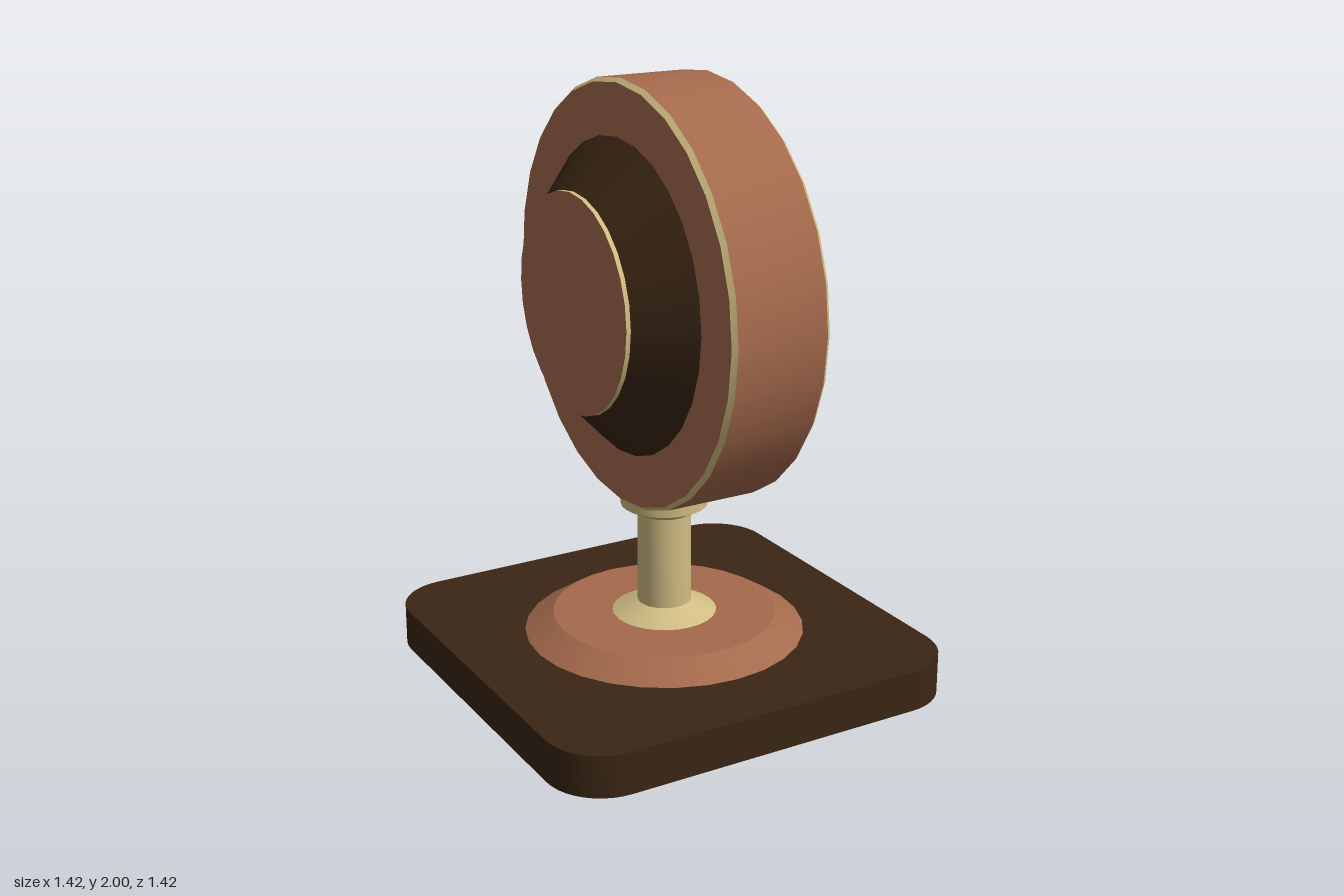
import * as THREE from 'three';
import { toCreasedNormals } from 'three/addons/utils/BufferGeometryUtils.js';

const SIDES = 28;
const HEAD_Y = 1.31;

const paint = (color) => new THREE.MeshStandardMaterial({ color });

export function createModel() {
  const model = new THREE.Group();
  const copper = paint(0xa56a4c);
  const gold = paint(0xd0bd82);
  const dark = paint(0x3a2614);
  const grey = paint(0xcccccc);

  // Turned part: profile of [radius, height], listed from bottom to top
  function turned(name, profile, material, parent) {
    const points = profile.map(([r, h]) => new THREE.Vector2(r, h));
    const geometry = toCreasedNormals(new THREE.LatheGeometry(points, SIDES), 0.4);
    const mesh = new THREE.Mesh(geometry, material);
    mesh.name = name;
    parent.add(mesh);
    return mesh;
  }

  // Square plinth with rounded corners
  const h = 0.71, r = 0.19, c = h - r;
  const outline = new THREE.Shape();
  outline.absarc(c, c, r, 0, Math.PI / 2);
  outline.absarc(-c, c, r, Math.PI / 2, Math.PI);
  outline.absarc(-c, -c, r, Math.PI, Math.PI * 1.5);
  outline.absarc(c, -c, r, Math.PI * 1.5, Math.PI * 2);
  outline.closePath();
  const slab = new THREE.ExtrudeGeometry(outline, { depth: 0.14, bevelEnabled: false, curveSegments: 5 });
  slab.rotateX(-Math.PI / 2);
  const plinth = new THREE.Mesh(toCreasedNormals(slab, 0.4), dark);
  plinth.name = 'plinth';
  model.add(plinth);

  // Stepped foot, stem and collar
  turned('foot', [[0.47, 0.14], [0.375, 0.2], [0, 0.2]], copper, model);
  turned('stem', [[0.175, 0.2], [0.09, 0.24], [0.09, 0.555]], gold, model);
  turned('collar', [[0.09, 0.555], [0.145, 0.585], [0.145, 0.64], [0, 0.64]], gold, model);

  // Round head, turned about its axis and laid over to face +x
  const head = new THREE.Group();
  head.name = 'head';
  head.position.y = HEAD_Y;
  head.rotation.z = -Math.PI / 2;
  model.add(head);

  turned('drum', [[0.69, -0.155], [0.69, 0.155]], copper, head);
  turned('backTrim', [[0.677, -0.17], [0.69, -0.155]], gold, head);
  turned('frontTrim', [[0.69, 0.155], [0.677, 0.17]], gold, head);
  turned('backPlate', [[0, -0.17], [0.677, -0.17]], copper, head);
  turned('frontRim', [[0.677, 0.17], [0.62, 0.17], [0.585, 0.12]], copper, head);
  turned('facePanel', [[0.585, 0.12], [0, 0.12]], grey, head);

  // Tapered rear housing with its end cap
  turned('rearHousing', [[0.355, -0.32], [0.51, -0.17]], dark, head);
  turned('capEdge', [[0.355, -0.335], [0.355, -0.32]], gold, head);
  turned('capFace', [[0, -0.335], [0.355, -0.335]], copper, head);

  return model;
}
